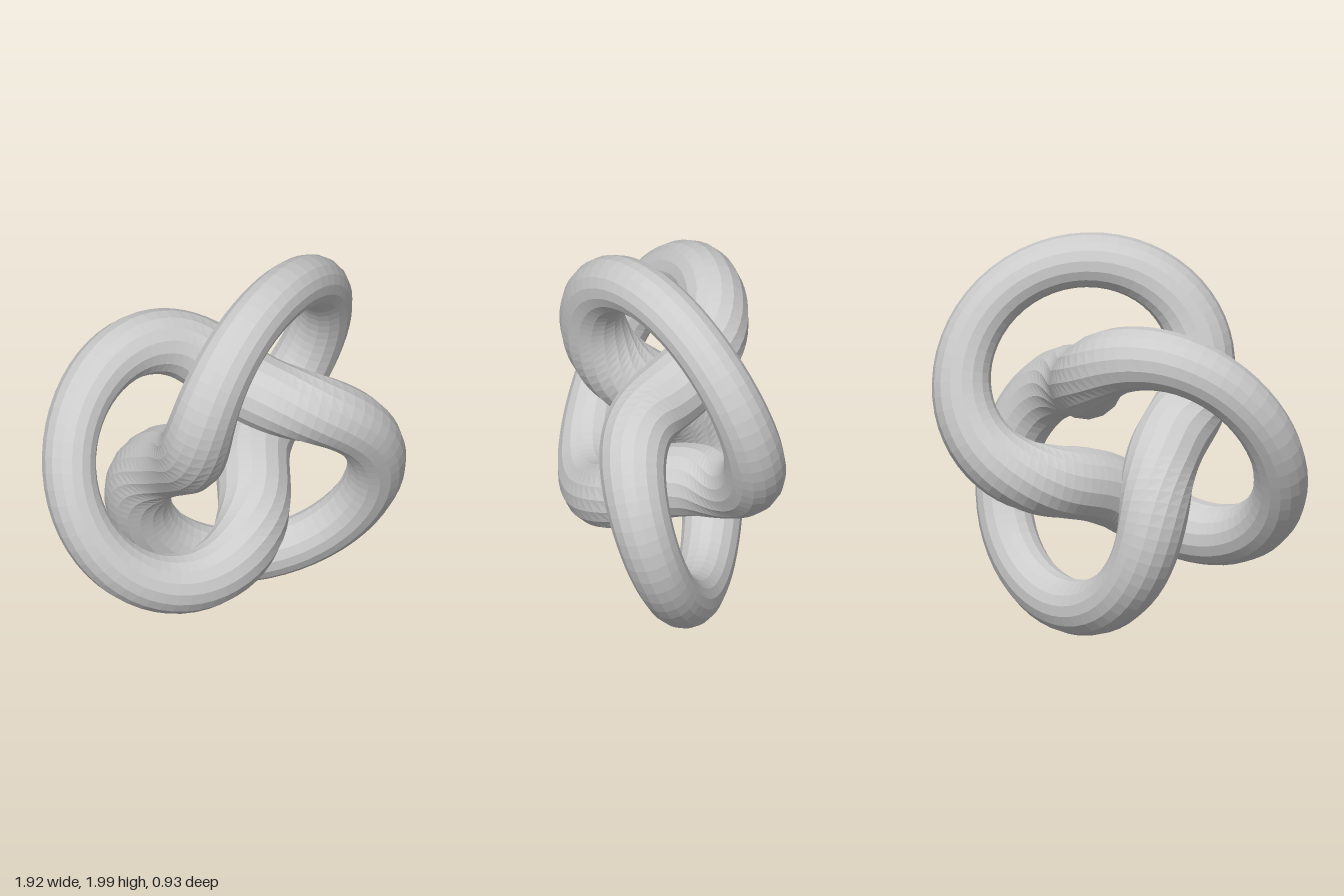
import * as THREE from 'three';

const SIZE = 0.61;      // knot radius
const TUBE = 0.16;      // mean tube radius
const VARIATION = 0.025; // thinner on the outer lobes, thicker in the middle
const STEPS = 180, SIDES = 16;

export function createModel() {
  const group = new THREE.Group();

  // Trefoil knot: winds twice round the axis, three times through the ring
  const geometry = new THREE.TorusKnotGeometry(SIZE, TUBE, STEPS, SIDES, 2, 3);

  // Swell or thin each ring of the tube about its centre
  const pos = geometry.attributes.position;
  const point = new THREE.Vector3(), centre = new THREE.Vector3();
  for (let i = 0; i <= STEPS; i++) {
    const u = (i / STEPS) * Math.PI * 4;
    const wave = Math.cos(1.5 * u);
    const reach = SIZE * (2 + wave) * 0.5;
    centre.set(reach * Math.cos(u), reach * Math.sin(u), SIZE * 0.5 * Math.sin(1.5 * u));
    const swell = 1 - (VARIATION / TUBE) * wave;
    for (let j = 0; j <= SIDES; j++) {
      const k = i * (SIDES + 1) + j;
      point.fromBufferAttribute(pos, k).sub(centre).multiplyScalar(swell).add(centre);
      pos.setXYZ(k, point.x, point.y, point.z);
    }
  }

  // One lobe points to the side, and the knot stands on the floor
  geometry.rotateZ(Math.PI);
  geometry.translate(0.095, 1, 0);
  geometry.computeVertexNormals();

  const knot = new THREE.Mesh(
    geometry,
    new THREE.MeshStandardMaterial({ color: 0xcccccc, flatShading: true })
  );
  knot.name = 'trefoilKnot';
  group.add(knot);
  return group;
}
